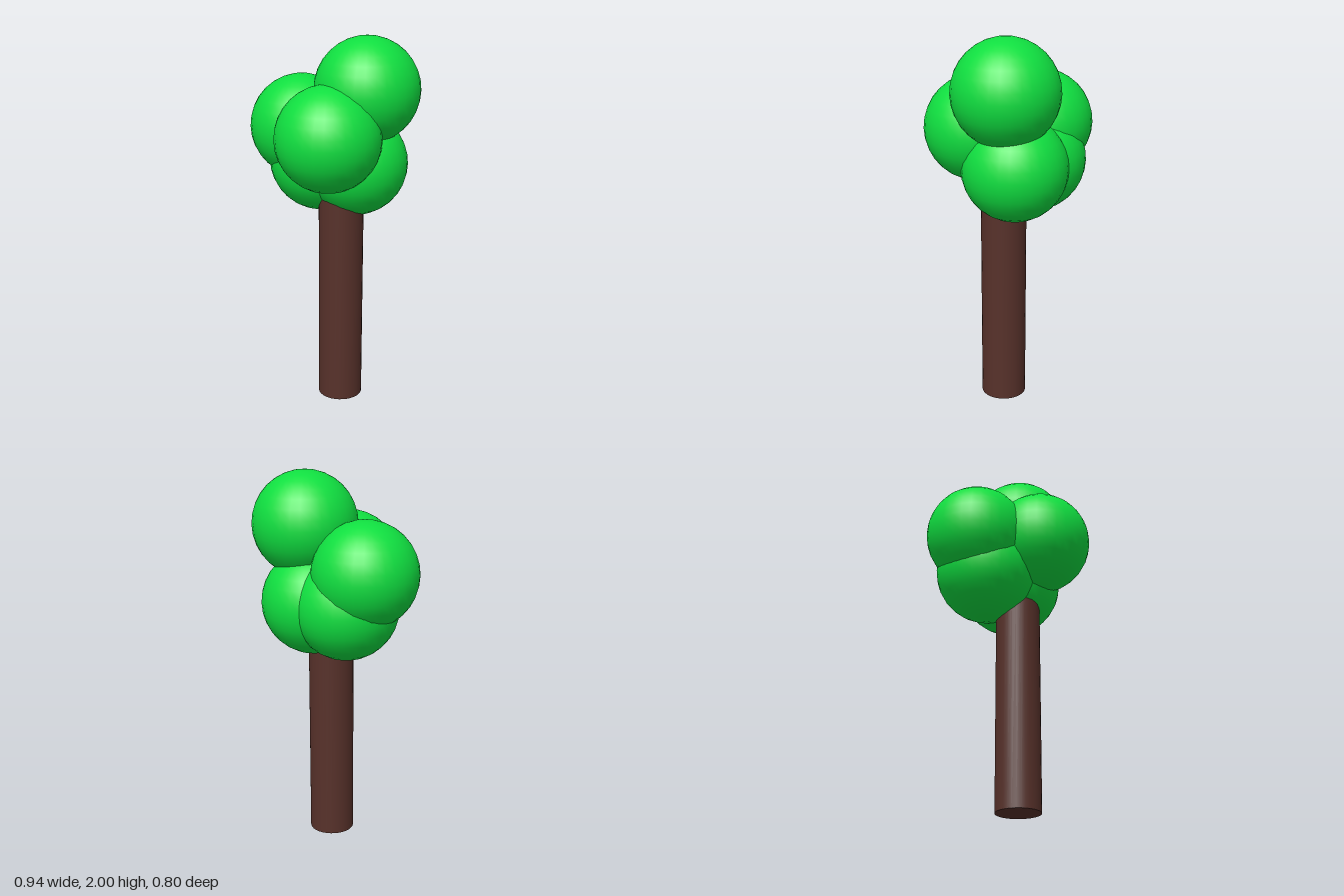
import * as THREE from 'three';

export function createModel() {
  const tree = new THREE.Group();
  tree.name = 'tree';

  const bark = new THREE.MeshStandardMaterial({ color: 0x57312a });
  bark.name = 'brown bark';
  const leaves = new THREE.MeshStandardMaterial({ color: 0x10df40 });
  leaves.name = 'green leaves';

  // Trunk: a plain column that ends inside the foliage
  const trunkHeight = 1.25;
  const trunk = new THREE.Mesh(new THREE.CylinderGeometry(0.12, 0.12, trunkHeight, 32), bark);
  trunk.name = 'trunk';
  trunk.position.set(0.08, trunkHeight / 2, -0.034);
  tree.add(trunk);

  // Crown: five equal overlapping balls
  const crown = new THREE.Group();
  crown.name = 'crown';
  const ball = new THREE.SphereGeometry(0.277, 32, 16);
  const balls = {
    topFoliage: [0.19, 1.723, -0.106],
    rightFoliage: [-0.192, 1.5, -0.106],
    frontFoliage: [0.08, 1.5, 0.122],
    lowerRightFoliage: [-0.085, 1.323, -0.122],
    lowerLeftFoliage: [0.122, 1.323, -0.122],
  };
  for (const [name, position] of Object.entries(balls)) {
    const foliage = new THREE.Mesh(ball, leaves);
    foliage.name = name;
    foliage.position.set(...position);
    crown.add(foliage);
  }
  tree.add(crown);

  return tree;
}
